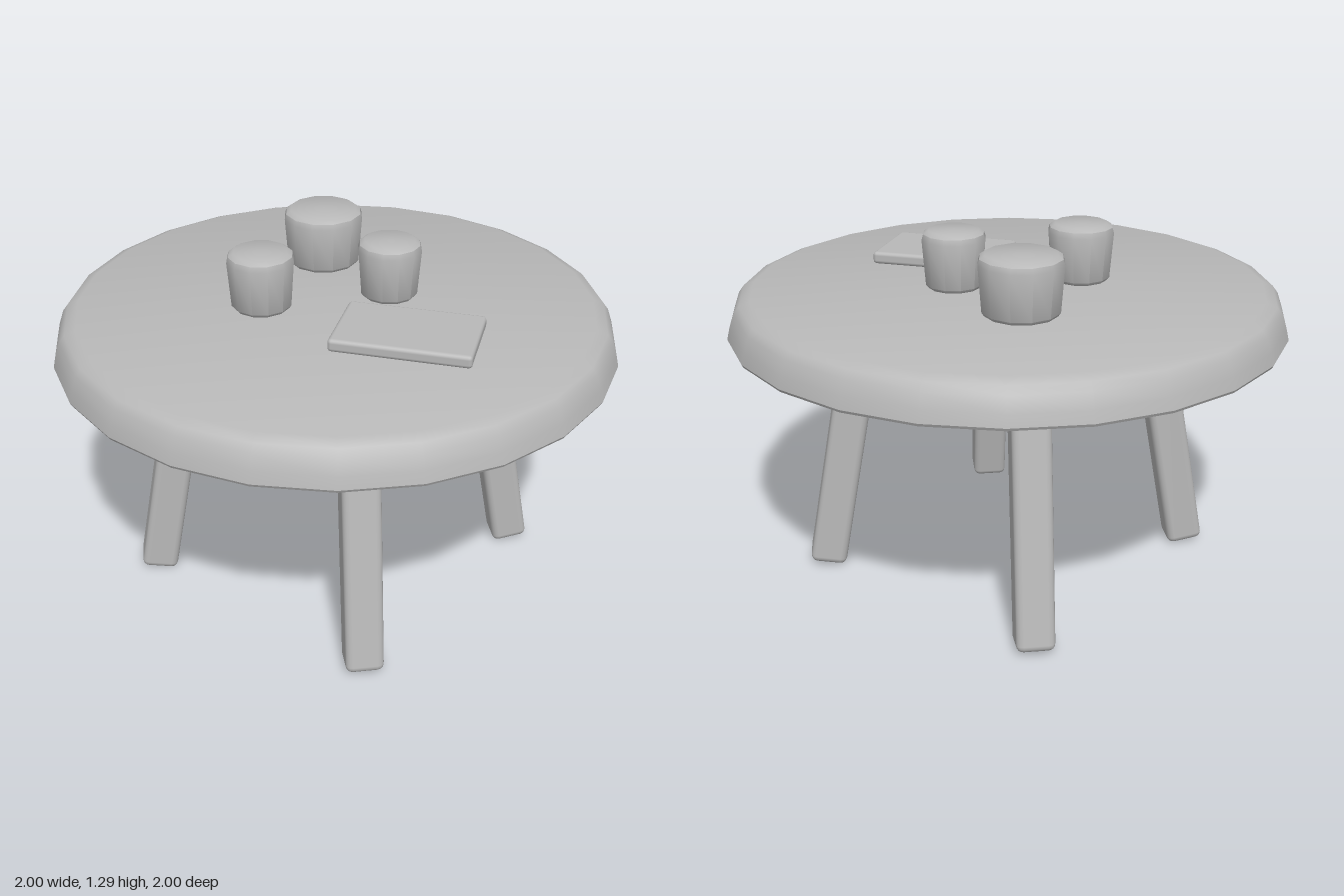
import * as THREE from 'three';
import { toCreasedNormals } from 'three/addons/utils/BufferGeometryUtils.js';
import { RoundedBoxGeometry } from 'three/addons/geometries/RoundedBoxGeometry.js';

const grey = new THREE.MeshStandardMaterial({ color: 0xb8b8b8 });
grey.name = 'plain grey';

function addMesh(parent, name, geometry, x = 0, y = 0, z = 0) {
  const mesh = new THREE.Mesh(geometry, grey);
  mesh.name = name;
  mesh.position.set(x, y, z);
  parent.add(mesh);
  return mesh;
}

// Turned solid from [radius, height] pairs, bottom to top
function turned(profile, sides) {
  const points = profile.map(([r, y]) => new THREE.Vector2(r, y));
  return toCreasedNormals(new THREE.LatheGeometry(points, sides), 0.65);
}

export function createModel() {
  const model = new THREE.Group();
  model.name = 'roundTable';

  // Tabletop with a soft upper edge and a flat underside
  addMesh(model, 'tableTop', turned([
    [0, 0.95], [0.995, 0.95], [1, 0.96], [0.99, 1.0], [0.972, 1.05],
    [0.953, 1.075], [0.915, 1.09], [0, 1.09],
  ], 24));

  // Four square legs, splayed outwards
  const legGeometry = new RoundedBoxGeometry(0.135, 0.94, 0.135, 2, 0.025);
  for (let i = 0; i < 4; i++) {
    const pivot = new THREE.Group();
    pivot.name = 'legPivot' + (i + 1);
    pivot.rotation.y = Math.PI / 8 + i * Math.PI / 2;
    addMesh(pivot, 'leg' + (i + 1), legGeometry, 0.614, 0.473, 0).rotation.z = 0.184;
    model.add(pivot);
  }

  // Closed round pots: [name, radius, x, z]
  const pots = [
    ['largePot', 0.148, -0.135, -0.33],
    ['smallPot', 0.115, 0.17, -0.1],
    ['mediumPot', 0.12, -0.24, 0.11],
  ];
  for (const [name, r, x, z] of pots) {
    addMesh(model, name, turned([
      [0, 0], [r - 0.022, 0], [r - 0.012, 0.012], [r, 0.175],
      [r - 0.006, 0.195], [r - 0.024, 0.207], [0, 0.207],
    ], 12), x, 1.09, z);
  }

  // Flat book
  addMesh(model, 'book', new RoundedBoxGeometry(0.48, 0.046, 0.31, 2, 0.014), 0.31, 1.113, 0.235);

  return model;
}
